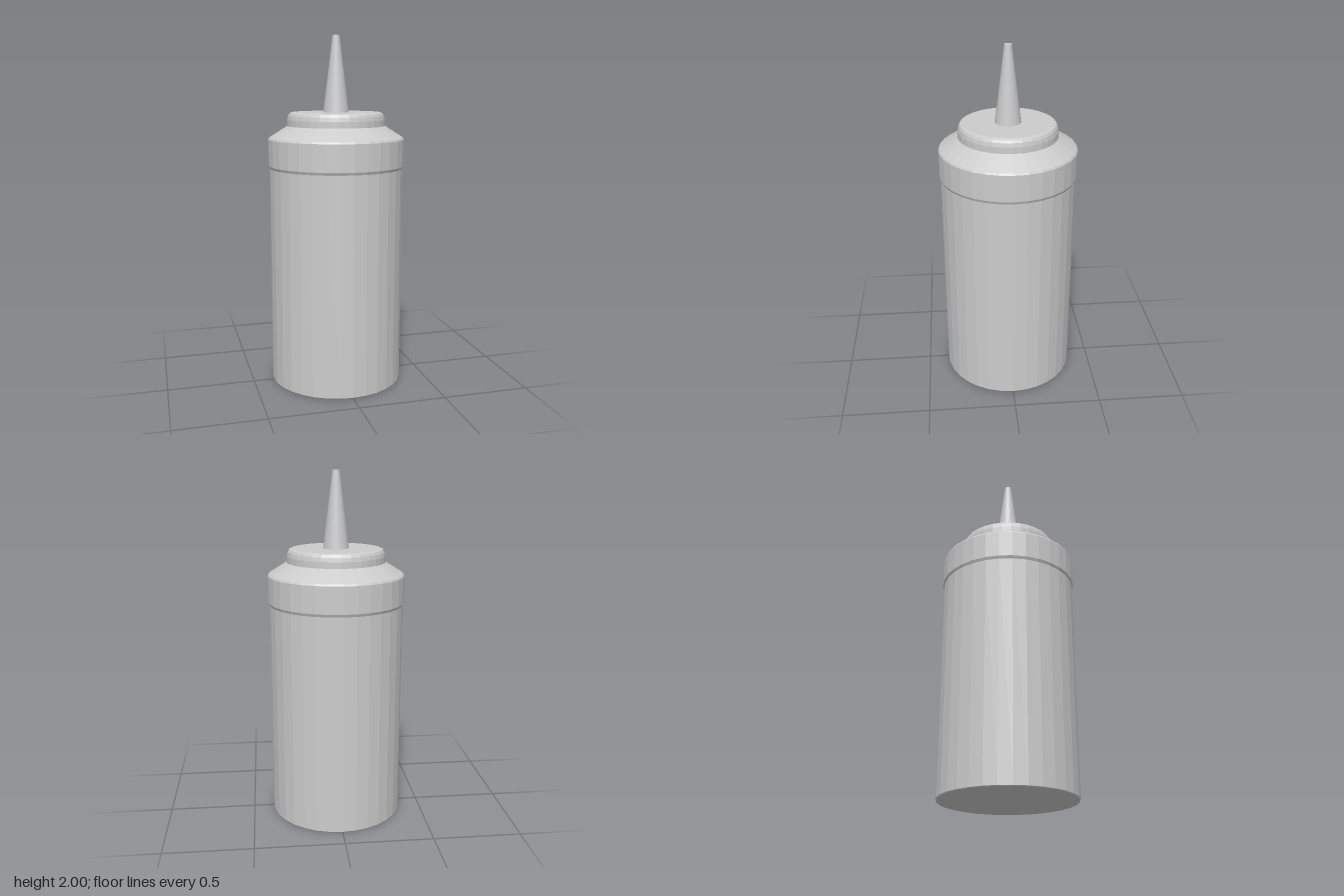
import * as THREE from 'three';

const SIDES = 32;

export function createModel() {
  const model = new THREE.Group();
  model.name = 'squeezeBottle';
  const material = new THREE.MeshStandardMaterial({ color: 0xcccccc, flatShading: true });

  // Turns a [radius, height] profile, listed bottom to top, around the y axis
  const turned = (name, profile) => {
    const points = profile.map(([r, y]) => new THREE.Vector2(r, y));
    const mesh = new THREE.Mesh(new THREE.LatheGeometry(points, SIDES), material);
    mesh.name = name;
    model.add(mesh);
  };

  // Straight container with a closed base
  turned('body', [[0, 0], [0.378, 0], [0.382, 0.005], [0.382, 1.27], [0, 1.27]]);

  // Screw collar with bevelled rims and a sloping shoulder
  turned('collar', [
    [0, 1.25], [0.38, 1.25], [0.389, 1.27], [0.389, 1.42], [0.383, 1.43],
    [0.28, 1.495], [0, 1.495],
  ]);

  // Raised cap with a rounded top edge
  turned('cap', [
    [0, 1.49], [0.28, 1.49], [0.279, 1.53], [0.274, 1.552], [0.266, 1.566],
    [0.252, 1.572], [0, 1.572],
  ]);

  // Tapered nozzle with a blunt tip
  turned('nozzle', [[0, 1.565], [0.074, 1.565], [0.02, 2], [0, 2]]);

  return model;
}
